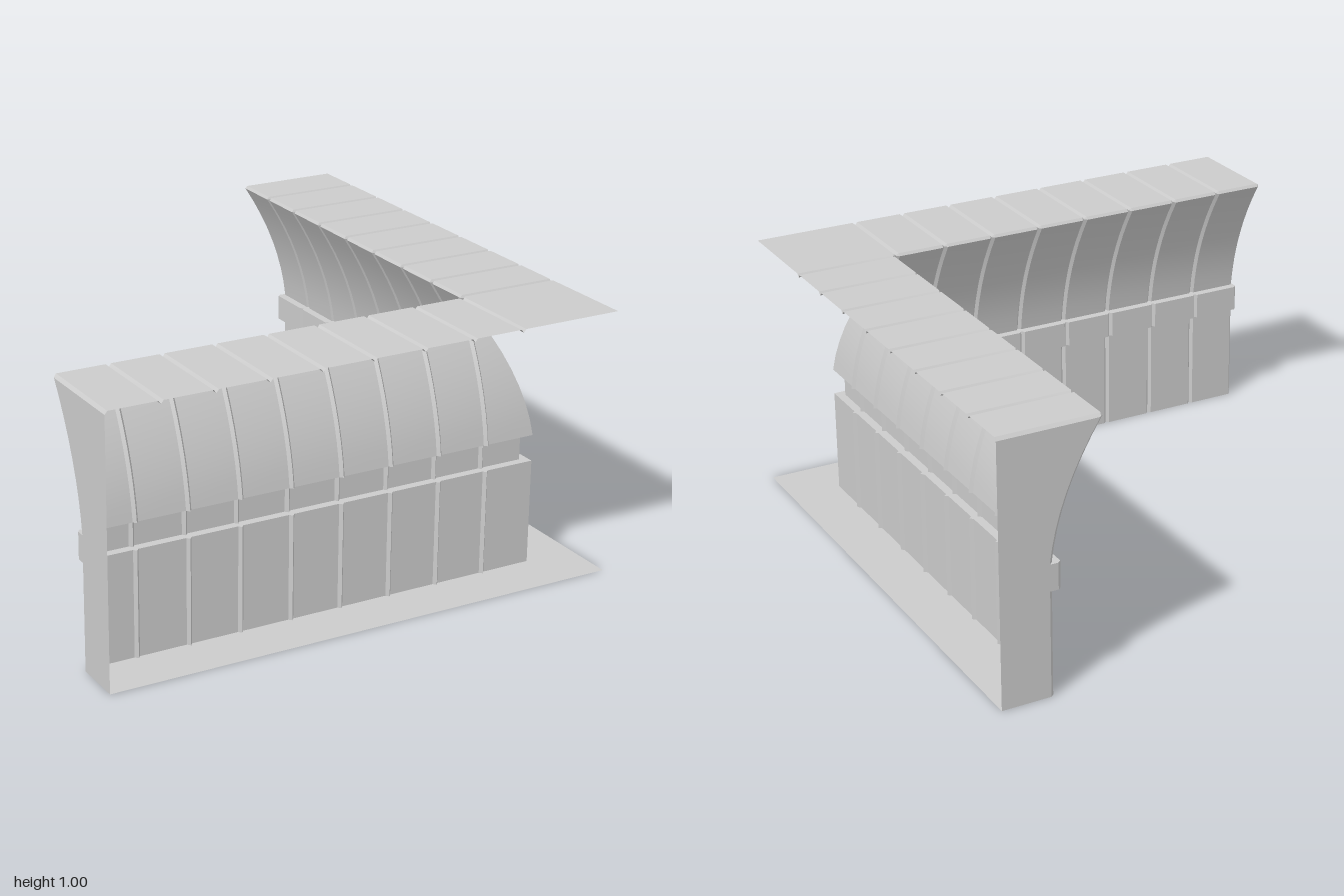
import * as THREE from 'three';
import { toCreasedNormals } from 'three/addons/utils/BufferGeometryUtils.js';

const material = new THREE.MeshStandardMaterial({ color: 0xcccccc, side: THREE.DoubleSide });
const GROOVE = 0.012; // depth of the V-joints between panels

// Profile points: [depth on the panel face, height, depth in the joint, height in the joint]
const face = (d, y) => [d, y, d + GROOVE, y];
const cove = [];
for (let i = 0; i <= 8; i++) {
  const t = 1 - i / 8;
  cove.push(face(0.802 - 0.192 * (0.3 * t + 0.7 * t * t), 0.5 + 0.49 * t));
}
const sections = {
  coping: [[1, 1, 1, 0.988], [0.618, 1, 0.63, 0.988], cove[0]],
  cove,
  ledge: [cove[8], face(0.77, 0.5), face(0.77, 0.4), face(0.802, 0.4)],
  lowerPanels: [face(0.802, 0.4), face(0.802, 0)],
  floor: [face(0.802, 0), [1, 0, 1, 0]],
};

// Stations along an arm: joint, panel start, panel end, ... and finally the corner mitre
const stations = [];
for (let i = 0; i < 8; i++) {
  const s = -1 + i * 0.2;
  stations.push([s, true], [s + 0.01, false], [s + 0.19, false]);
}
stations.push([0.6, true], [0.61, false], ['mitre', false]);

function makeGeometry(positions, index) {
  const g = new THREE.BufferGeometry();
  g.setAttribute('position', new THREE.Float32BufferAttribute(positions, 3));
  g.setIndex(index);
  return toCreasedNormals(g, 0.4);
}

// Place a point on the arm along x, or on its mirror image along z
const place = (s, y, d, mirrored) => (mirrored ? [d, y, s] : [s, y, d]);

function triangle(index, a, b, c, mirrored) {
  if (mirrored) index.push(a, c, b);
  else index.push(a, b, c);
}

// Sweep one stretch of the profile through all the stations
function sweep(profile, mirrored) {
  const positions = [], index = [], n = profile.length;
  stations.forEach(([s, joint], k) => {
    for (const p of profile) {
      const d = joint ? p[2] : p[0];
      const y = joint ? p[3] : p[1];
      positions.push(...place(s === 'mitre' ? d : s, y, d, mirrored));
    }
    if (k === 0) return;
    for (let j = 0; j < n - 1; j++) {
      const a = (k - 1) * n + j, b = k * n + j;
      triangle(index, a, b, a + 1, mirrored);
      triangle(index, a + 1, b, b + 1, mirrored);
    }
  });
  return makeGeometry(positions, index);
}

// Flat cap on the free end of an arm
function endCap(mirrored) {
  const outline = Object.values(sections)
    .flatMap((profile, i) => (i ? profile.slice(1) : profile))
    .map((p) => new THREE.Vector2(p[2], p[3]));
  const positions = outline.flatMap((v) => place(-1, v.y, v.x, mirrored));
  const index = [];
  for (const [a, b, c] of THREE.ShapeUtils.triangulateShape(outline, [])) {
    triangle(index, a, b, c, mirrored);
  }
  return makeGeometry(positions, index);
}

function makeArm(name, mirrored) {
  const arm = new THREE.Group();
  arm.name = name;
  const add = (part, geometry) => {
    const mesh = new THREE.Mesh(geometry, material);
    mesh.name = part;
    arm.add(mesh);
  };
  for (const [part, profile] of Object.entries(sections)) add(part, sweep(profile, mirrored));
  add('endCap', endCap(mirrored));
  return arm;
}

export function createModel() {
  const model = new THREE.Group();
  model.name = 'cornerWall';
  // Two mirrored arms meet at the mitre; the outer sides stay open
  model.add(makeArm('frontWall', false), makeArm('leftWall', true));
  return model;
}
